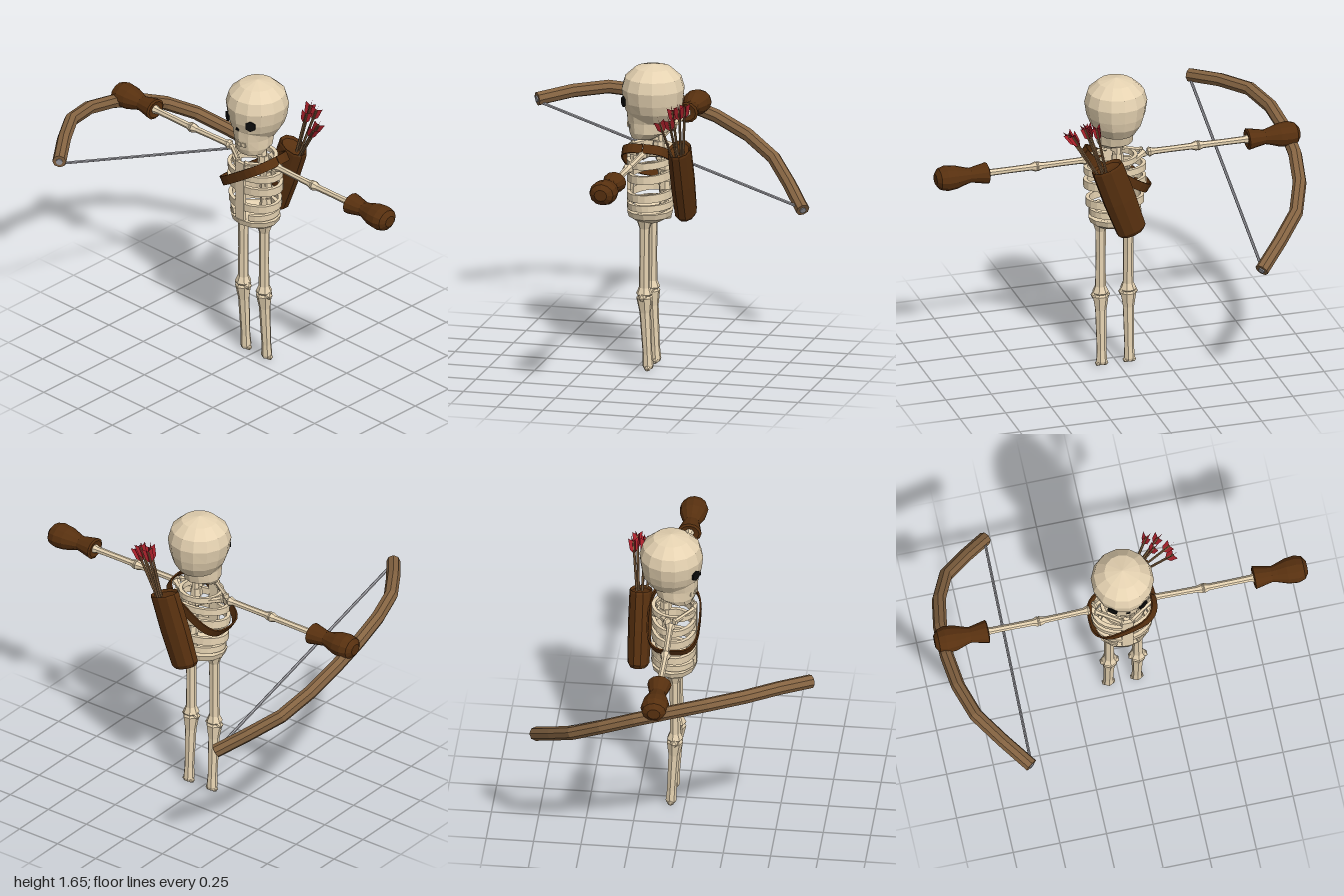
import * as THREE from 'three';

const paint = (name, color, side = THREE.FrontSide) => {
  const m = new THREE.MeshStandardMaterial({ color, side });
  m.name = name;
  return m;
};
const V = (x, y, z) => new THREE.Vector3(x, y, z);
const UP = V(0, 1, 0);

// Faceted normals
function facet(g) {
  const f = g.index ? g.toNonIndexed() : g;
  f.computeVertexNormals();
  return f;
}

function add(parent, name, geo, mat) {
  const m = new THREE.Mesh(facet(geo), mat);
  m.name = name;
  parent.add(m);
  return m;
}

// Turned shape from a to b; profile entries are [radius, fraction of length]
function turned(a, b, profile, sides = 7, depth = 1) {
  const len = a.distanceTo(b);
  const g = new THREE.LatheGeometry(profile.map(([r, t]) => new THREE.Vector2(r, t * len)), sides);
  g.scale(1, 1, depth);
  g.applyQuaternion(new THREE.Quaternion().setFromUnitVectors(UP, b.clone().sub(a).normalize()));
  return g.translate(a.x, a.y, a.z);
}

// Upright closed loft; rings are [y, halfWidth, centreZ, halfDepth]
function loft(rings, sides) {
  const g = new THREE.LatheGeometry(rings.map(([y, rx]) => new THREE.Vector2(rx, y)), sides);
  const p = g.attributes.position;
  for (let i = 0; i < p.count; i++) {
    const [, rx, cz, rz] = rings[i % rings.length];
    p.setZ(i, cz + (rx ? p.getZ(i) * rz / rx : 0));
  }
  return g;
}

// Flat band following part of a (super)ellipse; angle PI/2 is the front
function band(rx, rz, thick, height, a0, a1, n = 10, power = 1) {
  const pts = [];
  const curve = (c) => Math.sign(c) * Math.abs(c) ** power;
  const at = (a, t) => pts.push(new THREE.Vector2(curve(Math.cos(a)) * (rx - t), curve(Math.sin(a)) * (rz - t)));
  for (let i = 0; i <= n; i++) at(a0 + (a1 - a0) * i / n, 0);
  for (let i = n; i >= 0; i--) at(a0 + (a1 - a0) * i / n, thick);
  const g = new THREE.ExtrudeGeometry(new THREE.Shape(pts), { depth: height, bevelEnabled: false });
  return g.rotateX(Math.PI / 2).translate(0, height / 2, 0);
}

export function createModel() {
  const bone = paint('bone', 0xe6d3b2);
  const leather = paint('dark leather', 0x57300f);
  const wood = paint('bow wood', 0x856442);
  const cord = paint('bow string', 0xa0a0a6);
  const red = paint('red feathers', 0xb0222d, THREE.DoubleSide);
  const black = paint('socket black', 0x0c0c0c);

  const root = new THREE.Group();
  root.name = 'skeletonArcher';
  const body = new THREE.Group();
  body.name = 'body';
  body.position.x = 0.013;
  root.add(body);

  // Skull and jaw
  add(body, 'skull', loft([
    [1.34, 0, -0.08, 0], [1.345, 0.1, -0.085, 0.11], [1.4, 0.137, -0.082, 0.148], [1.45, 0.155, -0.08, 0.161],
    [1.52, 0.166, -0.08, 0.168], [1.58, 0.15, -0.08, 0.15], [1.63, 0.095, -0.08, 0.095], [1.652, 0, -0.08, 0],
  ], 14), bone);
  add(body, 'jaw', loft([
    [1.248, 0, -0.03, 0], [1.25, 0.077, -0.03, 0.065], [1.285, 0.097, -0.055, 0.105],
    [1.34, 0.1, -0.058, 0.118], [1.42, 0.122, -0.065, 0.13], [1.42, 0, -0.065, 0],
  ], 12), bone);
  for (let i = -2; i <= 2; i++) {
    const tooth = add(body, 'tooth', new THREE.BoxGeometry(0.022, 0.022, 0.008), bone);
    tooth.position.set(i * 0.026, 1.318, 0.056 - i * i * 0.006);
    tooth.rotation.y = i * 0.22;
  }
  for (const s of [-1, 1]) {
    const eye = add(body, 'eyeSocket', new THREE.CylinderGeometry(0.03, 0.03, 0.009, 6), black);
    eye.rotation.set(Math.PI / 2, 0, -s * 0.55);
    eye.position.set(s * 0.083, 1.455, 0.059);
  }
  const nose = add(body, 'noseHole', new THREE.CylinderGeometry(0.013, 0.013, 0.008, 3), black);
  nose.rotation.x = -Math.PI / 2;
  nose.position.set(0, 1.415, 0.072);

  // Spine, sternum and ribs
  for (let i = 0; i < 9; i++) {
    const v = add(body, 'vertebra', new THREE.CylinderGeometry(0.03, 0.034, 0.044, 7), bone);
    v.position.set(0, 0.84 + i * 0.053, i < 6 ? -0.145 : -0.145 + (i - 5) * 0.018);
  }
  add(body, 'neck', turned(V(0, 0.82, -0.145), V(0, 1.3, -0.11), [[0, 0], [0.022, 0], [0.022, 1], [0, 1]]), bone);
  const sternum = add(body, 'sternum', new THREE.BoxGeometry(0.06, 0.34, 0.02), bone);
  sternum.position.set(0, 1.035, 0.045);
  for (const [y, rx, h, gap] of [[1.19, 0.12, 0.03, 0.15], [1.13, 0.168, 0.036, 0.15],
    [1.055, 0.17, 0.044, 0.15], [0.95, 0.158, 0.042, 0.18], [0.892, 0.14, 0.034, 0.4]]) {
    for (const s of [-1, 1]) {
      const a = Math.PI / 2 - s * gap;
      const rib = add(body, 'rib', s > 0
        ? band(rx, 0.12, 0.02, h, -Math.PI / 2, a)
        : band(rx, 0.12, 0.02, h, a, Math.PI * 1.5), bone);
      rib.position.set(0, y, -0.065);
      rib.rotation.x = 0.05;
    }
  }

  // Pelvis
  add(body, 'pelvis', loft([
    [0.805, 0, -0.065, 0], [0.805, 0.1, -0.065, 0.07], [0.83, 0.135, -0.065, 0.115],
    [0.862, 0.146, -0.065, 0.123], [0.862, 0.12, -0.065, 0.1], [0.83, 0, -0.065, 0],
  ], 12), bone);

  const longBone = [[0, 0], [0.7, 0], [1, 0.04], [0.66, 0.12], [0.62, 0.5], [0.66, 0.85], [1, 0.95], [0.75, 1], [0, 1]];
  const scaled = (r) => longBone.map(([k, t]) => [k * r, t]);
  for (const s of [-1, 1]) {
    // Legs
    const x = s * 0.076;
    add(body, 'thighBone', turned(V(x, 0.4, -0.052), V(x, 0.84, -0.055), scaled(0.044)), bone);
    add(body, 'shinBone', turned(V(x, 0.012, -0.074), V(x, 0.42, -0.052),
      [[0, 0], [0.024, 0], [0.03, 0.04], [0.026, 0.2], [0.031, 0.75], [0.044, 0.94], [0.03, 1], [0, 1]]), bone);
    for (const k of [-1, 1]) {
      const ankle = add(body, 'ankleKnob', new THREE.IcosahedronGeometry(0.018, 0), bone);
      ankle.position.set(x + k * 0.019, 0.018, -0.074);
      const knee = add(body, 'kneeKnob', new THREE.IcosahedronGeometry(0.024, 0), bone);
      knee.position.set(x + k * 0.03, 0.402, -0.052);
    }
    // Collar bones
    add(body, 'collarBone', turned(V(s * 0.02, 1.2, 0.04), V(s * 0.155, 1.2, -0.05), scaled(0.02), 6), bone);
    add(body, 'shoulderBlade', turned(V(s * 0.03, 1.17, -0.16), V(s * 0.155, 1.2, -0.08), scaled(0.025), 6), bone);
    // Arms
    add(root, 'upperArmBone', turned(V(s * 0.165, 1.193, -0.065), V(s * 0.45, 1.19, -0.06), scaled(0.027)), bone);
    add(root, 'forearmBone', turned(V(s * 0.435, 1.19, -0.06), V(s * 0.74, 1.19, -0.062), scaled(0.028)), bone);
    // Gloves
    add(root, 'glove', turned(V(s * 0.71, 1.19, -0.062), V(s * 0.998, 1.19, -0.062), [[0, 0.04], [0.045, 0],
      [0.056, 0.02], [0.038, 0.34], [0.045, 0.44], [0.061, 0.62], [0.066, 0.8], [0.056, 0.93], [0.03, 1], [0, 1]],
    12, 1.14), leather);
  }

  // Strap across the chest
  const strap = add(root, 'quiverStrap', band(0.2, 0.14, 0.008, 0.05, 0, Math.PI * 1.999, 28, 0.65), leather);
  strap.position.set(0.008, 1.122, -0.065);
  strap.rotation.z = 0.57;

  // Quiver
  add(root, 'quiver', turned(V(-0.025, 0.83, -0.25), V(0.115, 1.225, -0.25),
    [[0, 0], [0.065, 0], [0.082, 0.05], [0.09, 0.5], [0.088, 0.97], [0.084, 1], [0.07, 0.97], [0, 0.95]], 10, 0.7), leather);

  // Arrows with crossed feathers
  const feather = new THREE.Shape([[0, -0.085], [0.023, -0.055], [0.029, 0.008], [0, -0.01], [-0.029, 0.008], [-0.023, -0.055]]
    .map(([x, y]) => new THREE.Vector2(x, y)));
  for (const [x, y, z] of [[0.19, 1.485, -0.3], [0.25, 1.485, -0.285], [0.305, 1.43, -0.245],
    [0.315, 1.42, -0.195], [0.22, 1.47, -0.24]]) {
    const tip = V(x, y, z);
    const base = V(0.08 + x * 0.12, 1.1, -0.19 + z * 0.25);
    add(root, 'arrowShaft', turned(base, tip, [[0, 0], [0.007, 0], [0.007, 0.97], [0, 0.97]], 6), wood);
    const fletching = new THREE.Group();
    fletching.name = 'fletching';
    fletching.position.copy(tip);
    fletching.quaternion.setFromUnitVectors(UP, tip.clone().sub(base).normalize());
    root.add(fletching);
    for (let k = 0; k < 2; k++) {
      add(fletching, 'feather', new THREE.ShapeGeometry(feather), red).rotation.y = 0.5 + k * Math.PI / 2;
    }
  }

  // Bow and string
  const path = [[-0.648, 1.225, 0.73], [-0.775, 1.25, 0.56], [-0.892, 1.252, 0.37], [-0.945, 1.2, 0.1],
    [-0.938, 1.09, -0.23], [-0.86, 0.955, -0.48], [-0.73, 0.85, -0.61], [-0.585, 0.742, -0.73]].map((p) => V(...p));
  const section = new THREE.Shape([...Array(8)].map((_, i) =>
    new THREE.Vector2(Math.cos(i * Math.PI / 4) * 0.037, Math.sin(i * Math.PI / 4) * 0.037)));
  add(root, 'bow', new THREE.ExtrudeGeometry(section,
    { steps: 9, extrudePath: new THREE.CatmullRomCurve3(path), bevelEnabled: false }), wood);
  add(root, 'bowString', turned(V(-0.645, 1.205, 0.7), V(-0.59, 0.755, -0.71),
    [[0, 0], [0.008, 0], [0.008, 1], [0, 1]], 6), cord);
  // Nocks on the bow ends
  for (const [a, b] of [[path[1], path[0]], [path[6], path[7]]]) {
    const dir = b.clone().sub(a).normalize();
    add(root, 'bowNock', turned(b, b.clone().addScaledVector(dir, 0.006),
      [[0, 0], [0.018, 0], [0.018, 1], [0, 1]], 8), cord);
  }
  return root;
}
